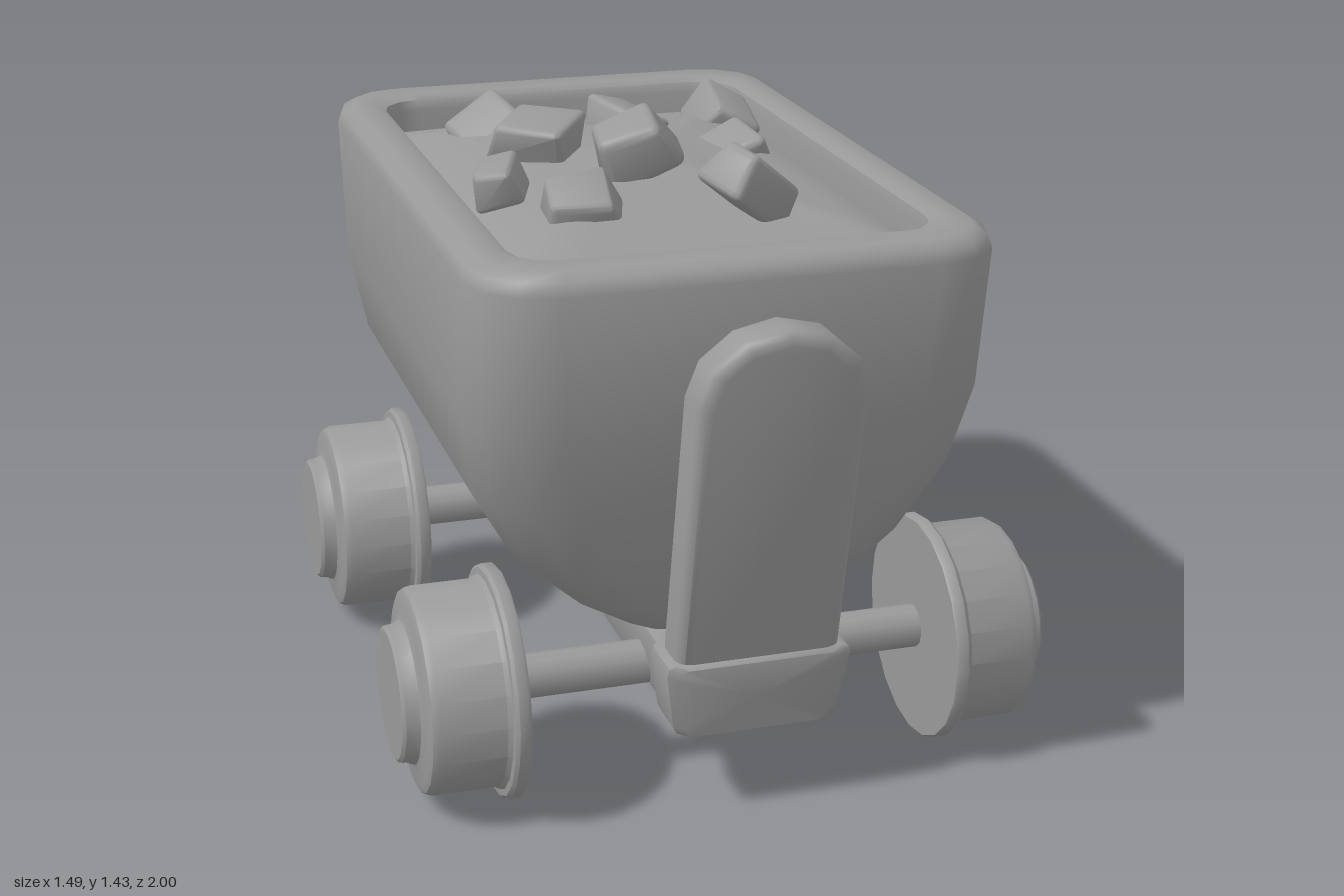
import * as THREE from 'three';
import { mergeVertices, toCreasedNormals } from 'three/addons/utils/BufferGeometryUtils.js';
import { RoundedBoxGeometry } from 'three/addons/geometries/RoundedBoxGeometry.js';

const material = new THREE.MeshStandardMaterial({ color: 0x999999 });

function add(parent, name, geometry, x = 0, y = 0, z = 0) {
  const mesh = new THREE.Mesh(geometry, material);
  mesh.name = name;
  mesh.position.set(x, y, z);
  parent.add(mesh);
  return mesh;
}

// Rounded rectangle in the xz plane, as a closed ring of points
function ring(hx, hz, r, y, steps = 3) {
  const points = [];
  const corners = [[1, 1], [-1, 1], [-1, -1], [1, -1]];
  corners.forEach(([sx, sz], c) => {
    for (let i = 0; i <= steps; i++) {
      const a = (c + i / steps) * Math.PI / 2;
      points.push([sx * (hx - r) + r * Math.cos(a), y, sz * (hz - r) + r * Math.sin(a)]);
    }
  });
  return points;
}

// Skin over a row of rings, closed at either end
function loft(rings, capStart, capEnd) {
  const n = rings[0].length;
  const positions = rings.flat(2);
  const index = [];
  for (let k = 0; k < rings.length - 1; k++) {
    for (let i = 0; i < n; i++) {
      const a = k * n + i, b = k * n + (i + 1) % n;
      index.push(a, a + n, b, b, a + n, b + n);
    }
  }
  const cap = (k, flip) => {
    const centre = positions.length / 3;
    const mid = [0, 1, 2].map(j => rings[k].reduce((s, p) => s + p[j], 0) / n);
    positions.push(...mid);
    for (let i = 0; i < n; i++) {
      const a = k * n + i, b = k * n + (i + 1) % n;
      index.push(centre, flip ? a : b, flip ? b : a);
    }
  };
  if (capStart) cap(0, true);
  if (capEnd) cap(rings.length - 1, false);
  const g = new THREE.BufferGeometry();
  g.setAttribute('position', new THREE.Float32BufferAttribute(positions, 3));
  g.setIndex(index);
  return g;
}

// Tub: bowl-shaped outside, rolled rim, short inner wall
function tubGeometry() {
  const rows = [ // half width, half length, corner radius, height
    [0.12, 0.62, 0.08, 0.355], [0.20, 0.65, 0.11, 0.38], [0.325, 0.69, 0.16, 0.45],
    [0.44, 0.74, 0.19, 0.555], [0.537, 0.79, 0.19, 0.73], [0.57, 0.838, 0.18, 0.92],
    [0.574, 0.876, 0.17, 1.24], [0.564, 0.866, 0.16, 1.268], [0.535, 0.84, 0.14, 1.285],
    [0.485, 0.765, 0.11, 1.285], [0.462, 0.74, 0.1, 1.275], [0.456, 0.732, 0.095, 1.25],
    [0.452, 0.728, 0.09, 1.12],
  ];
  return toCreasedNormals(loft(rows.map(r => ring(...r)), true, true), 0.9);
}

// Load: gently mounded surface filling the tub
function loadGeometry() {
  const rings = [1, 0.9, 0.75, 0.55, 0.35, 0.15].map(s => ring(0.456 * s, 0.732 * s, 0.1 * s, 0)
    .map(([x, , z]) => {
      const mound = 0.08 * (1 - s * s) + 0.012 * Math.sin(x * 9 + 1) * Math.cos(z * 7);
      return [x, 1.2 + mound, z];
    }));
  const g = loft(rings, false, true);
  g.computeVertexNormals();
  return g;
}

// Leaning end post with a round top, sheared outward with height
function postGeometry() {
  const bevel = 0.032, hw = 0.185 - bevel;
  const shape = new THREE.Shape();
  shape.moveTo(-hw, 0.34);
  shape.lineTo(hw, 0.34);
  shape.lineTo(hw, 1.0);
  for (let i = 1; i <= 6; i++) {
    const a = i * Math.PI / 6;
    shape.lineTo(hw * Math.cos(a), 1.0 + 0.138 * Math.sin(a));
  }
  const g = new THREE.ExtrudeGeometry(shape, {
    depth: 0.13 - 2 * bevel, bevelSize: bevel, bevelThickness: bevel, bevelSegments: 3,
  });
  const p = g.attributes.position;
  for (let i = 0; i < p.count; i++) {
    const lean = 0.213 * (p.getY(i) - 0.385);
    p.setZ(i, p.getZ(i) + 0.71 + bevel + lean);
  }
  return toCreasedNormals(g, 0.8);
}

// Chassis beam: one piece along z, flaring into a foot at each end, narrower below
function beamGeometry() {
  const half = [ // z, half width, half height
    [0.853, 0.19, 0.083], [0.838, 0.212, 0.0925], [0.715, 0.212, 0.0925], [0.68, 0.195, 0.0825],
  ];
  const rows = [...half, ...half.map(([z, w, h]) => [-z, w, h]).reverse()];
  const rings = rows.map(([z, w, h]) => ring(w, h, 0.025, 0, 2).map(([x, , v]) => {
    const y = 0.2925 + v + (h - 0.0925) * (v > 0 ? 0 : 1);
    const low = (0.385 - y) / 0.185;
    return [x * (1 - 0.14 * low), y, z * (1 - 0.04 * low)];
  }));
  return toCreasedNormals(loft(rings, true, true), 0.8);
}

// Wheel: inner flange, tread and raised flat hub, turned around the axle
function wheelGeometry() {
  const profile = [ // radius, distance outward
    [0, 0.487], [0.258, 0.487], [0.262, 0.493], [0.262, 0.514], [0.255, 0.522], [0.24, 0.524],
    [0.232, 0.534], [0.232, 0.68], [0.224, 0.695], [0.205, 0.702], [0.178, 0.702],
    [0.16, 0.708], [0.154, 0.722], [0.152, 0.738], [0.144, 0.745], [0, 0.745],
  ].map(([r, d]) => new THREE.Vector2(r, d));
  const g = new THREE.LatheGeometry(profile, 20);
  g.rotateZ(-Math.PI / 2);
  return toCreasedNormals(g, 0.7);
}

// Rock: rounded box with its eight corners pushed by a fixed pattern
function rockGeometry(w, h, d, seed) {
  let g = new RoundedBoxGeometry(w, h, d, 2, Math.min(w, h, d) * 0.17);
  g.deleteAttribute('normal');
  g.deleteAttribute('uv');
  g = mergeVertices(g, 1e-4);
  const p = g.attributes.position;
  for (let i = 0; i < p.count; i++) {
    const corner = (p.getX(i) > 0) + 2 * (p.getY(i) > 0) + 4 * (p.getZ(i) > 0);
    const k = t => 1 + 0.18 * Math.sin(seed * 12.9 + corner * 4.7 + t * 2.3);
    p.setXYZ(i, p.getX(i) * k(0), p.getY(i) * k(1), p.getZ(i) * k(2));
  }
  return toCreasedNormals(g, 0.7);
}

export function createModel() {
  const model = new THREE.Group();
  model.name = 'mineCart';

  add(model, 'tub', tubGeometry(), -0.022);
  add(model, 'load', loadGeometry(), -0.022);

  // Chassis with a post at each end
  const chassis = new THREE.Group();
  chassis.name = 'chassis';
  chassis.position.x = 0.012;
  model.add(chassis);
  add(chassis, 'beam', beamGeometry());
  add(chassis, 'frontPost', postGeometry());
  add(chassis, 'backPost', postGeometry()).rotation.y = Math.PI;

  // Axles and wheels
  for (const [name, z] of [['front', 0.553], ['back', -0.477]]) {
    const axle = new THREE.CylinderGeometry(0.05, 0.05, 1.0, 12);
    axle.rotateZ(Math.PI / 2);
    add(model, name + 'Axle', axle, 0, 0.264, z);
    add(model, name + 'LeftWheel', wheelGeometry(), 0, 0.263, z);
    add(model, name + 'RightWheel', wheelGeometry(), 0, 0.263, z).rotation.y = Math.PI;
  }

  // Rocks: x, y, z, width, height, depth, then rotation about x, y, z
  const rocks = [
    [-0.27, 1.25, -0.45, 0.15, 0.11, 0.14, 0.3, 0.3, 0.6],
    [0.075, 1.26, -0.42, 0.12, 0.09, 0.17, 0.2, 0.5, -0.3],
    [0.35, 1.235, -0.49, 0.14, 0.12, 0.18, 0.2, -0.1, -0.4],
    [-0.22, 1.31, -0.14, 0.18, 0.1, 0.17, 0.1, -0.6, 0.1],
    [0.27, 1.225, -0.16, 0.15, 0.1, 0.15, 0.1, 0.1, 0.5],
    [-0.385, 1.29, 0.165, 0.1, 0.09, 0.14, 0.1, -0.35, 0.4],
    [-0.06, 1.335, 0.13, 0.17, 0.13, 0.14, 0.2, -0.1, 0.5],
    [-0.245, 1.27, 0.35, 0.16, 0.1, 0.14, 0.4, -0.1, 0.2],
    [0.11, 1.31, 0.44, 0.19, 0.11, 0.13, 0.2, 0.35, -0.7],
    [0.195, 1.25, 0.31, 0.1, 0.08, 0.09, 0.1, 0, 0.2],
  ];
  rocks.forEach(([x, y, z, w, h, d, rx, ry, rz], i) => {
    add(model, 'rock' + (i + 1), rockGeometry(w, h, d, i + 1), x, y, z).rotation.set(rx, ry, rz);
  });

  return model;
}
